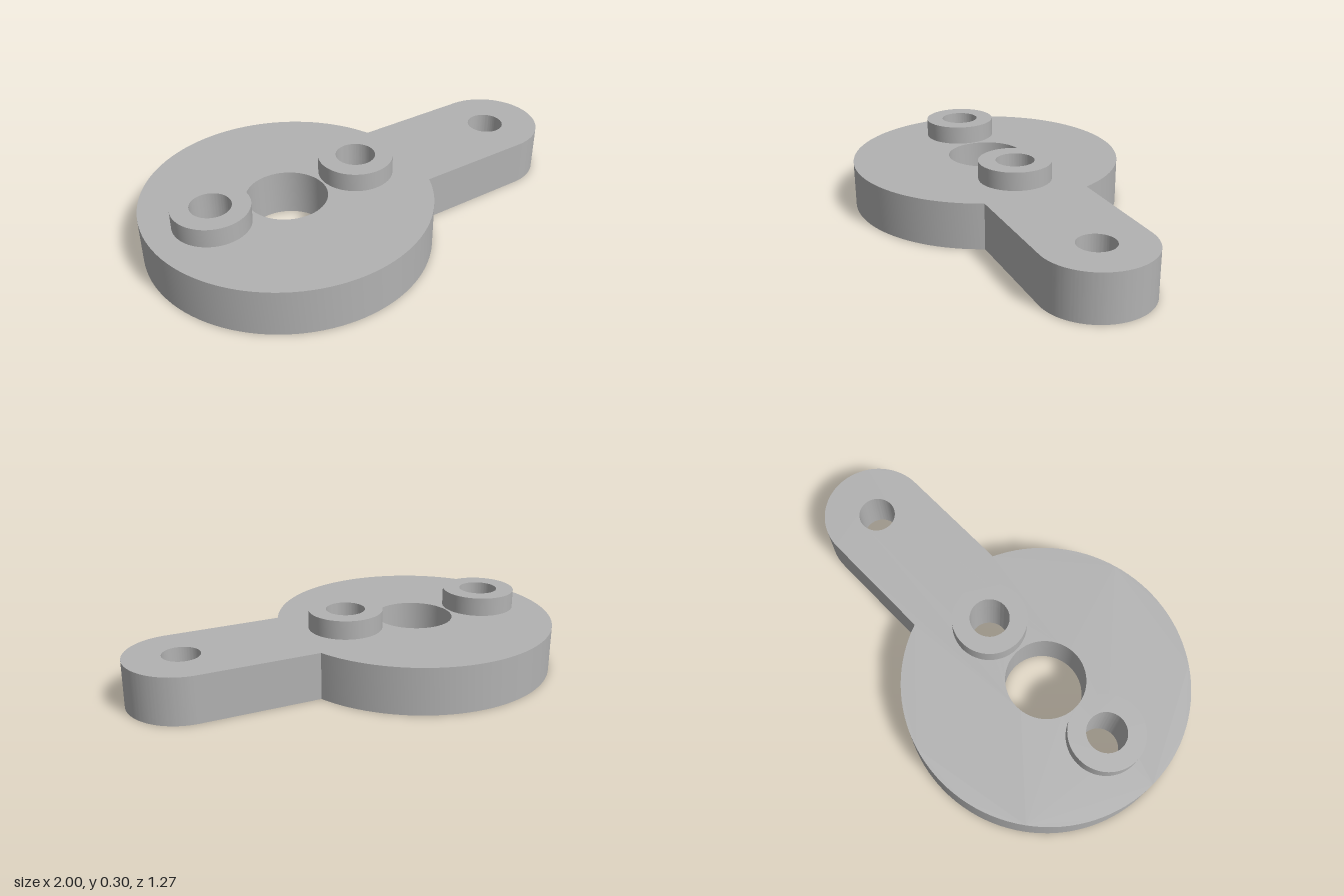
import * as THREE from 'three';
import { toCreasedNormals } from 'three/addons/utils/BufferGeometryUtils.js';

const PLATE_TOP = 0.212, BOSS_TOP = 0.297;
const DISC_X = -0.365, DISC_R = 0.635;
const ARM_X = 0.757, ARM_R = 0.243;
const BOSS_XS = [-0.72, -0.01], BOSS_R = 0.167, BOSS_HOLE_R = 0.088;

function circle(PathType, x, r) {
  const path = new PathType();
  path.absarc(x, 0, r, 0, Math.PI * 2, false);
  return path;
}

// Extrudes a plan outline upward from y0 to y1, smooth around curves
function extrudeUp(shape, y0, y1) {
  const geo = new THREE.ExtrudeGeometry(shape, { depth: y1 - y0, bevelEnabled: false, curveSegments: 48 });
  geo.rotateX(-Math.PI / 2);
  geo.translate(0, y0, 0);
  return toCreasedNormals(geo, Math.PI / 6);
}

export function createModel() {
  const group = new THREE.Group();
  group.name = 'leverPlate';
  const grey = new THREE.MeshStandardMaterial({ color: 0xb2b2b2 });
  grey.name = 'grey';

  // Round plate and its round-ended arm as one outline
  const join = Math.asin(ARM_R / DISC_R);
  const outline = new THREE.Shape();
  outline.absarc(DISC_X, 0, DISC_R, join, Math.PI * 2 - join, false);
  outline.absarc(ARM_X, 0, ARM_R, -Math.PI / 2, Math.PI / 2, false);
  outline.closePath();

  // Centre bore, arm hole and the holes running through the bosses
  outline.holes.push(circle(THREE.Path, DISC_X, 0.178), circle(THREE.Path, 0.753, 0.083));
  for (const x of BOSS_XS) outline.holes.push(circle(THREE.Path, x, BOSS_HOLE_R));

  const plate = new THREE.Mesh(extrudeUp(outline, 0, PLATE_TOP), grey);
  plate.name = 'plate';
  group.add(plate);

  // Raised ring bosses
  BOSS_XS.forEach((x, i) => {
    const ring = circle(THREE.Shape, x, BOSS_R);
    ring.holes.push(circle(THREE.Path, x, BOSS_HOLE_R));
    const boss = new THREE.Mesh(extrudeUp(ring, PLATE_TOP, BOSS_TOP), grey);
    boss.name = i === 0 ? 'outerBoss' : 'innerBoss';
    group.add(boss);
  });

  return group;
}
